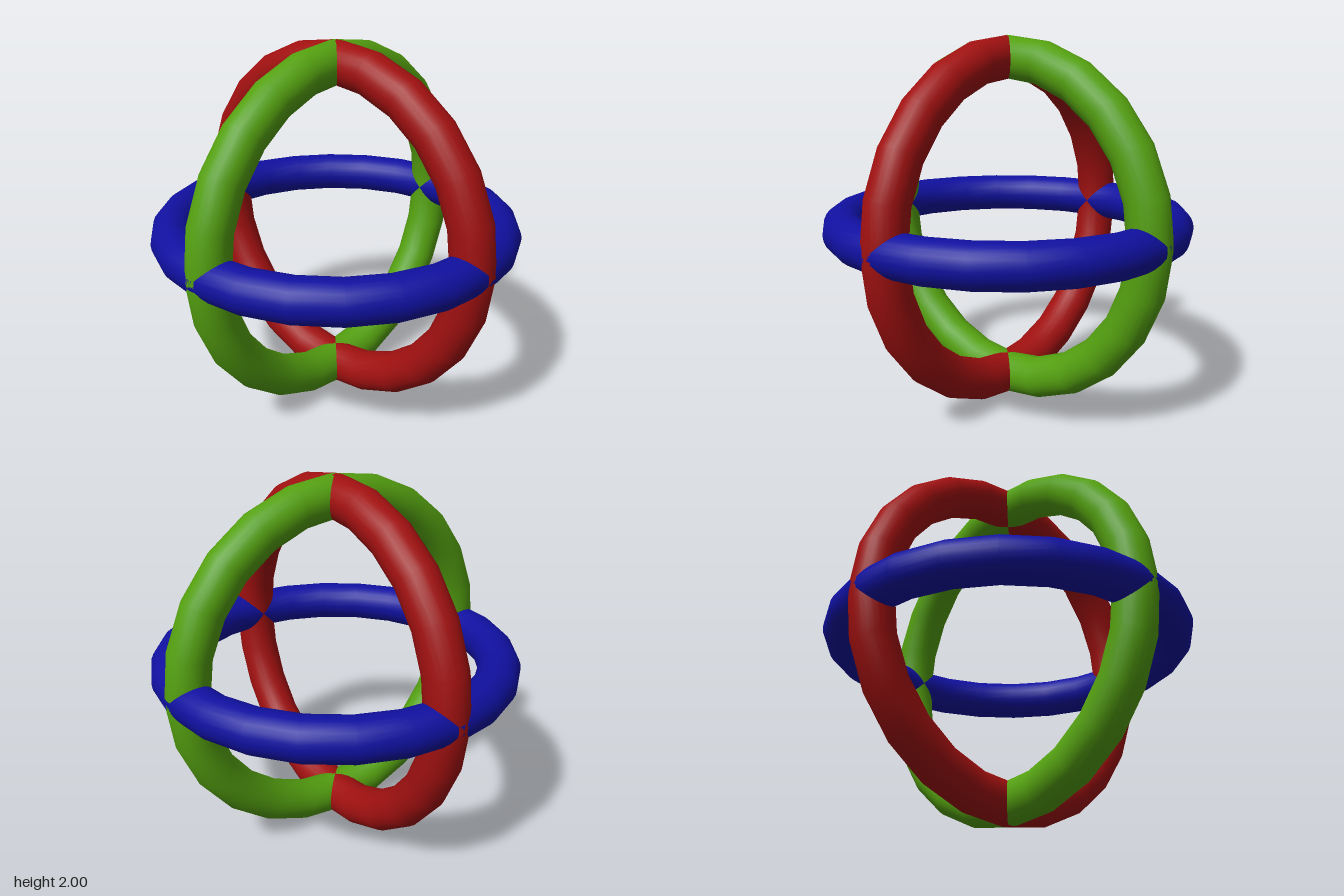
import * as THREE from 'three';

const TUBE = 0.112;
const RADIUS = 1 - TUBE;

// One smooth ring of 24 segments, centred one unit above the ground
function ring(name, color, rx, ry) {
  const geometry = new THREE.TorusGeometry(RADIUS, TUBE, 24, 24);
  const mesh = new THREE.Mesh(geometry, new THREE.MeshStandardMaterial({ color }));
  mesh.name = name;
  mesh.rotation.set(rx, ry, 0);
  mesh.position.y = 1;
  return mesh;
}

export function createModel() {
  const group = new THREE.Group();
  group.name = 'interlockedRings';
  group.add(
    ring('frontRing', 0x54a010, 0, 0), // faces z
    ring('sideRing', 0xa01010, 0, Math.PI / 2), // faces x
    ring('levelRing', 0x1010a0, Math.PI / 2, 0) // faces y
  );
  return group;
}
